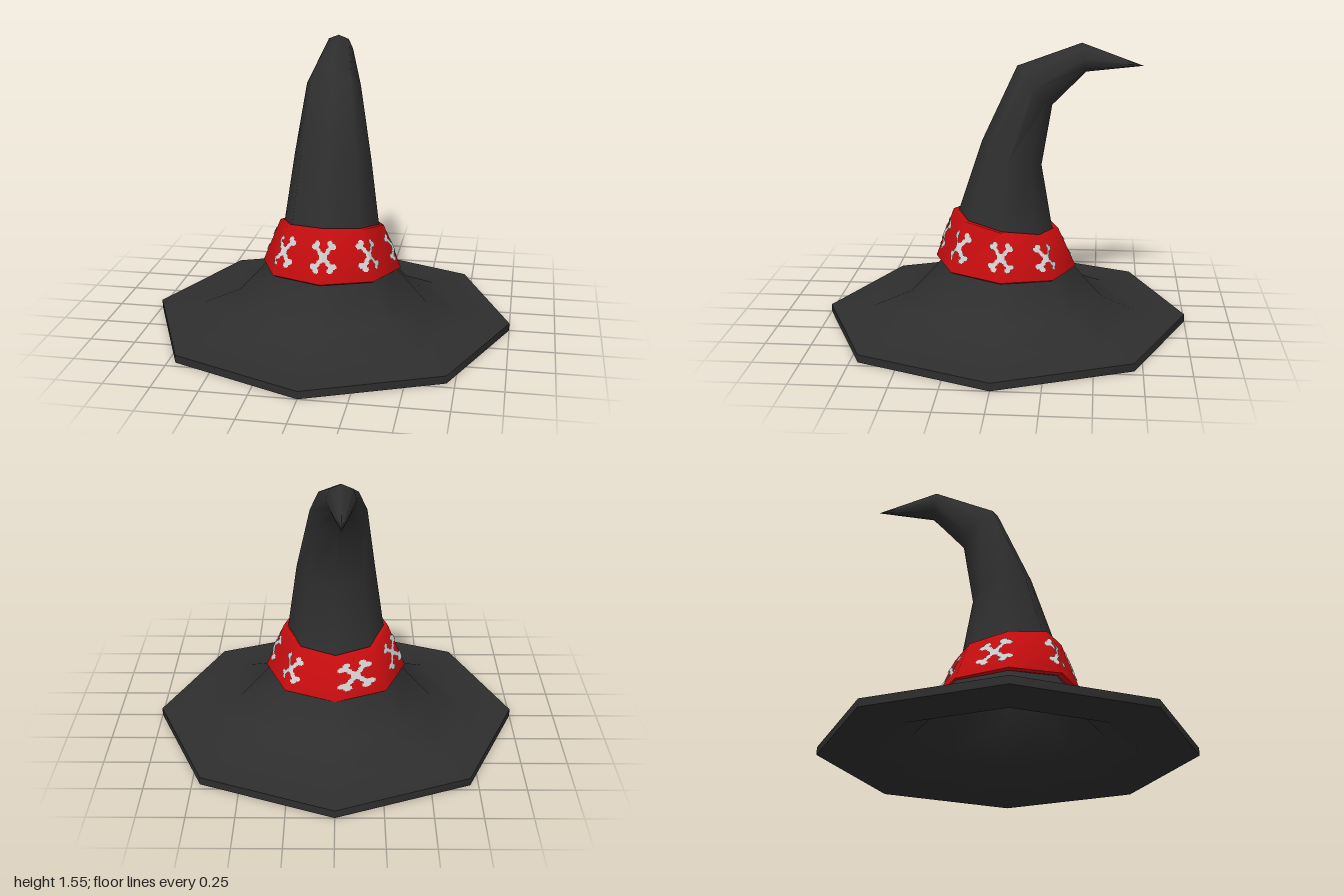
import * as THREE from 'three';
import { toCreasedNormals } from 'three/addons/utils/BufferGeometryUtils.js';

const SIDES = 8;

// Ring: [half width, centre x, front z, front y, back z, back y]
const level = (r, y) => [r, 0, r, y, -r, y];
const tilted = (r, y, rise) => [r, 0, r, y + rise, -r, y - rise];

function ringPoint([rx, cx, zf, yf, zb, yb], a) {
  const k = Math.cos(a);
  return new THREE.Vector3(
    cx + rx * Math.sin(a),
    (yf + yb) / 2 + (k * (yf - yb)) / 2,
    (zf + zb) / 2 + (k * (zf - zb)) / 2
  );
}

function geometryFrom(positions, indices) {
  const g = new THREE.BufferGeometry();
  g.setAttribute('position', new THREE.Float32BufferAttribute(positions, 3));
  g.setIndex(indices);
  return g;
}

// Eight-sided skin through a list of rings
function loft(rings) {
  const pos = [], idx = [];
  rings.forEach((ring) => {
    for (let i = 0; i < SIDES; i++) pos.push(...ringPoint(ring, (i / SIDES) * Math.PI * 2));
  });
  for (let j = 0; j < rings.length - 1; j++) {
    for (let i = 0; i < SIDES; i++) {
      const n = (i + 1) % SIDES;
      const a = j * SIDES + i, b = j * SIDES + n, c = b + SIDES, d = a + SIDES;
      if (rings[j][0] > 0) idx.push(a, b, c);
      if (rings[j + 1][0] > 0) idx.push(a, c, d);
    }
  }
  return toCreasedNormals(geometryFrom(pos, idx), 0.95);
}

const bandBottom = tilted(0.39, 0.335, 0.022);
const bandTop = tilted(0.29, 0.58, 0.05);

// Point on the faceted band, lifted slightly off its surface
function bandPoint(angle, t) {
  const step = (Math.PI * 2) / SIDES;
  const i = Math.floor(angle / step);
  const f0 = angle - i * step;
  // straight-line position along the facet for this angle
  const f = 0.5 + Math.tan(f0 - step / 2) / (2 * Math.tan(step / 2));
  const at = (a) => ringPoint(bandBottom, a).lerp(ringPoint(bandTop, a), t);
  const p = at(i * step).lerp(at((i + 1) * step), f);
  const mid = (i + 0.5) * step;
  return p.add(new THREE.Vector3(Math.sin(mid), 0.38, Math.cos(mid)).multiplyScalar(0.006));
}

// Two crossed bones: shafts along both diagonals, two knobs at each end
function insideBones(u, v) {
  const x = Math.abs(u), y = Math.abs(v);
  const shaft = Math.abs(x * 0.82 - y * 0.57) < 0.011 && y < 0.066;
  const knobs = Math.hypot(x - 0.034, y - 0.068) < 0.0165 || Math.hypot(x - 0.05, y - 0.052) < 0.0165;
  return shaft || knobs;
}

// Emblem of small cells that follows the band around its corners
function bonesGeometry(angle, widen) {
  const pos = [], idx = [], cell = 0.006;
  for (let i = -12; i < 12; i++) {
    for (let j = -15; j < 15; j++) {
      if (!insideBones((i + 0.5) * cell, (j + 0.5) * cell)) continue;
      const n = pos.length / 3;
      for (const [a, b] of [[i, j], [i + 1, j], [i + 1, j + 1], [i, j + 1]]) {
        pos.push(...bandPoint(angle + (a * cell * widen) / 0.325, 0.5 + (b * cell) / 0.275));
      }
      idx.push(n, n + 1, n + 2, n, n + 2, n + 3);
    }
  }
  const g = geometryFrom(pos, idx).toNonIndexed();
  g.computeVertexNormals();
  return g;
}

export function createModel() {
  const cloth = new THREE.MeshStandardMaterial({ color: 0x2e2e2e });
  cloth.name = 'black cloth';
  const red = new THREE.MeshStandardMaterial({ color: 0xc20c0e });
  red.name = 'red band';
  const bone = new THREE.MeshStandardMaterial({ color: 0xd0d0d0, side: THREE.DoubleSide });
  bone.name = 'pale bone';

  const model = new THREE.Group();
  model.name = 'pointedHat';
  const add = (geometry, material, name) => {
    const mesh = new THREE.Mesh(geometry, material);
    mesh.name = name;
    model.add(mesh);
  };

  // Hollow lining, brim slab and bent crown as one continuous skin
  add(loft([
    [0, -0.03, -0.60, 1.46, -0.60, 1.46],
    [0.06, -0.03, -0.405, 1.53, -0.42, 1.42],
    [0.13, -0.015, -0.08, 1.40, -0.23, 1.23],
    [0.19, 0, 0.11, 1.01, -0.17, 0.89],
    [0.24, 0, 0.24, 0.61, -0.23, 0.53],
    level(0.33, 0.31),
    level(0.5, 0.11),
    level(0.7, 0.0),
    level(1.0, 0.0),
    level(1.0, 0.042),
    level(0.75, 0.045),
    level(0.535, 0.14),
    level(0.36, 0.335),
    [0.265, 0, 0.262, 0.62, -0.255, 0.54],
    [0.212, 0, 0.13, 1.02, -0.195, 0.89],
    [0.15, -0.015, -0.06, 1.43, -0.25, 1.22],
    [0.08, -0.03, -0.405, 1.555, -0.43, 1.40],
    [0, -0.03, -0.735, 1.435, -0.735, 1.435],
  ]), cloth, 'brimAndCrown');

  // Tilted band with thin rims
  add(loft([
    tilted(0.335, 0.335, 0.022),
    tilted(0.375, 0.325, 0.022),
    bandBottom,
    bandTop,
    tilted(0.275, 0.585, 0.05),
    tilted(0.25, 0.57, 0.05),
  ]), red, 'hatBand');

  // Crossed bones around the band: [degrees from the front, width factor]
  const emblems = [[2, 1], [46, 1], [90, 1], [134, 1], [200, 1.6], [257, 1.45], [319, 1]];
  emblems.forEach(([deg, widen], i) => {
    add(bonesGeometry(THREE.MathUtils.degToRad(deg), widen), bone, `crossedBones${i + 1}`);
  });
  return model;
}
